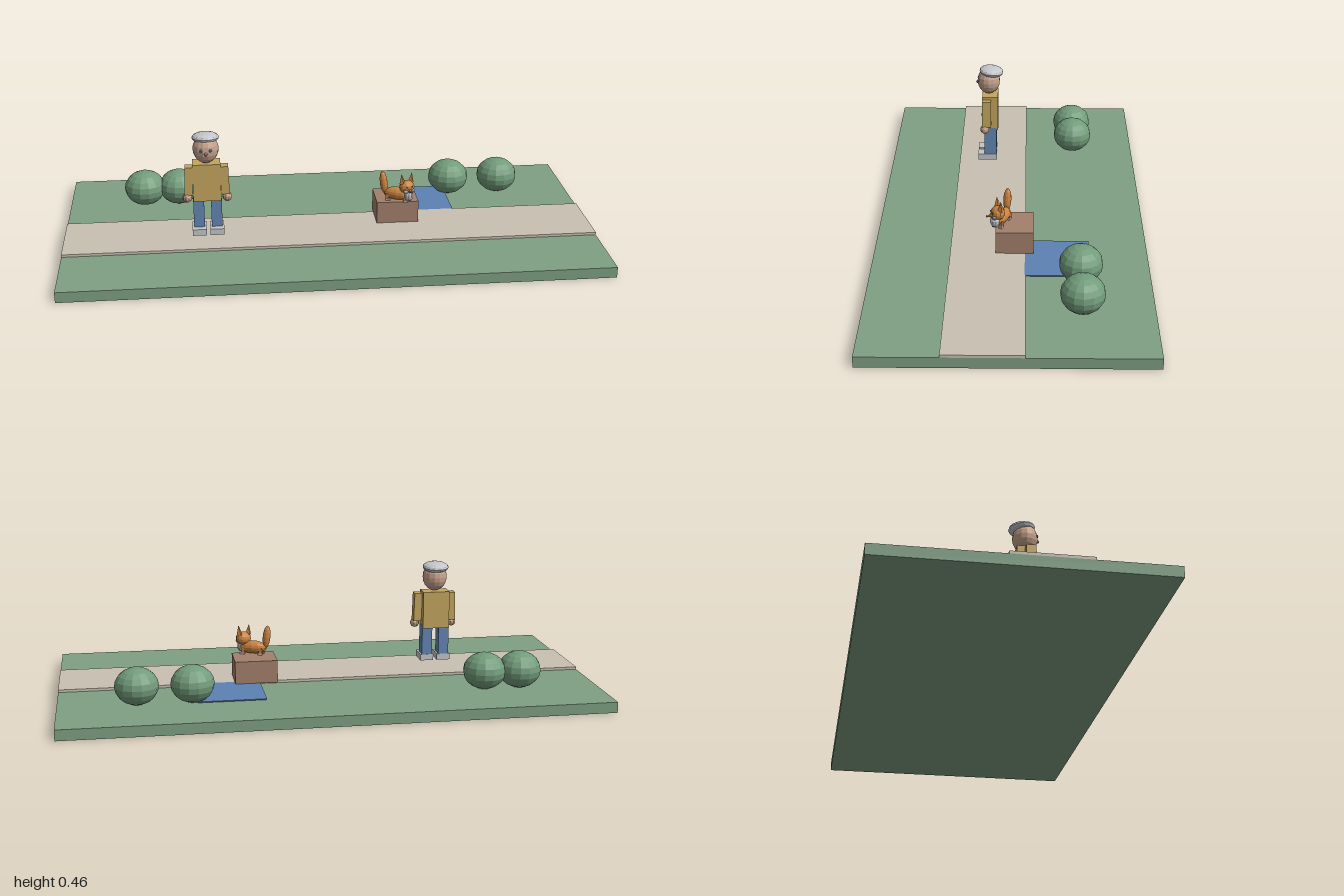
import * as THREE from 'three';

export function createModel() {
  const model = new THREE.Group();
  const mat = (name, color) => {
    const m = new THREE.MeshStandardMaterial({ color, flatShading: true });
    m.name = name;
    return m;
  };
  const grass = mat('grass green', 0x7fa083);
  const leaf = mat('bush green', 0x729c7b);
  const paving = mat('path beige', 0xc9c1b2);
  const water = mat('pond blue', 0x5d82b4);
  const denim = mat('denim blue', 0x6387b3);
  const coat = mat('coat mustard', 0xc4a65e);
  const brick = mat('plinth brown', 0xa3806c);
  const skin = mat('skin', 0xc6a38c);
  const grey = mat('light grey', 0xc4c7ca);
  const fur = mat('fox orange', 0xcb8440);

  const add = (parent, name, geometry, material, p) => {
    const mesh = new THREE.Mesh(geometry, material);
    mesh.name = name;
    mesh.position.set(...p);
    parent.add(mesh);
    return mesh;
  };
  const box = (parent, name, material, size, p) =>
    add(parent, name, new THREE.BoxGeometry(...size), material, p);
  const ball = (parent, name, material, radii, p, w = 12, h = 8) =>
    add(parent, name, new THREE.SphereGeometry(1, w, h).scale(...radii), material, p);
  const group = (parent, name, p) => {
    const g = new THREE.Group();
    g.name = name;
    g.position.set(...p);
    parent.add(g);
    return g;
  };

  // Ground, path, pond and plinth
  box(model, 'ground', grass, [2, 0.04, 1], [0, 0.02, 0]);
  box(model, 'path', paving, [2, 0.01, 0.276], [0, 0.045, 0.082]);
  box(model, 'pond', water, [0.25, 0.004, 0.235], [0.375, 0.048, -0.17]);
  box(model, 'plinth', brick, [0.16, 0.085, 0.138], [0.265, 0.0925, -0.015]);

  // Bushes
  for (const x of [-0.705, -0.57, 0.515, 0.715])
    ball(model, 'bush', leaf, [0.08, 0.069, 0.078], [x, 0.109, -0.25], 14, 10);

  // Standing man
  const man = group(model, 'man', [-0.46, 0, 0.092]);
  box(man, 'coat', coat, [0.104, 0.145, 0.064], [0, 0.272, 0]);
  for (const s of [-1, 1]) {
    box(man, 'leg', denim, [0.04, 0.12, 0.05], [s * 0.033, 0.15, 0]);
    box(man, 'shoe', grey, [0.052, 0.024, 0.076], [s * 0.033, 0.081, 0.012]);
    const arm = box(man, 'arm', coat, [0.03, 0.11, 0.036], [s * 0.067, 0.28, 0.014]);
    arm.rotation.z = s * 0.03;
    ball(man, 'hand', skin, [0.018, 0.018, 0.019], [s * 0.074, 0.213, 0.022], 10, 7);
    ball(man, 'eye', denim, [0.006, 0.006, 0.005], [s * 0.017, 0.405, 0.047], 8, 6);
  }
  ball(man, 'head', skin, [0.048, 0.055, 0.046], [0, 0.4, 0.006], 14, 10);
  ball(man, 'nose', skin, [0.006, 0.007, 0.008], [0, 0.393, 0.05], 8, 6);
  const cap = ball(man, 'cap', grey, [0.051, 0.02, 0.049], [0, 0.44, -0.005], 14, 8);
  cap.rotation.x = -0.1;

  // Fox body on the plinth, turned part way to the front
  const fox = group(model, 'fox', [0.265, 0.135, 0.03]);
  fox.rotation.y = -0.4;
  ball(fox, 'body', fur, [0.055, 0.025, 0.023], [0, 0.027, 0]);
  ball(fox, 'chest', grey, [0.018, 0.023, 0.019], [0.048, 0.027, 0.008], 10, 7);
  for (const x of [-0.034, 0.036])
    for (const z of [-0.012, 0.014]) {
      box(fox, 'leg', fur, [0.013, 0.024, 0.011], [x, 0.014, z]);
      box(fox, 'paw', grey, [0.018, 0.007, 0.012], [x + 0.003, 0.0035, z]);
    }
  const tail = ball(fox, 'tail', fur, [0.015, 0.045, 0.015], [-0.053, 0.068, 0.004]);
  tail.rotation.z = 0.12;

  // Fox head
  const head = group(model, 'foxHead', [0.3, 0.194, 0.046]);
  head.rotation.y = 0.35;
  ball(head, 'skull', fur, [0.03, 0.026, 0.026], [0, 0, 0]);
  const snout = add(head, 'snout', new THREE.ConeGeometry(0.014, 0.03, 8), fur, [0, -0.008, 0.028]);
  snout.rotation.x = Math.PI / 2;
  ball(head, 'nose', denim, [0.004, 0.004, 0.004], [0, -0.008, 0.042], 8, 6);
  for (const s of [-1, 1]) {
    const ear = add(head, 'ear', new THREE.ConeGeometry(0.013, 0.04, 4), fur, [s * 0.02, 0.034, -0.004]);
    ear.rotation.z = -s * 0.12;
    ball(head, 'cheek', grey, [0.01, 0.008, 0.008], [s * 0.014, -0.012, 0.018], 8, 6);
    ball(head, 'eye', denim, [0.0035, 0.0035, 0.003], [s * 0.011, 0.006, 0.023], 8, 6);
  }
  return model;
}
